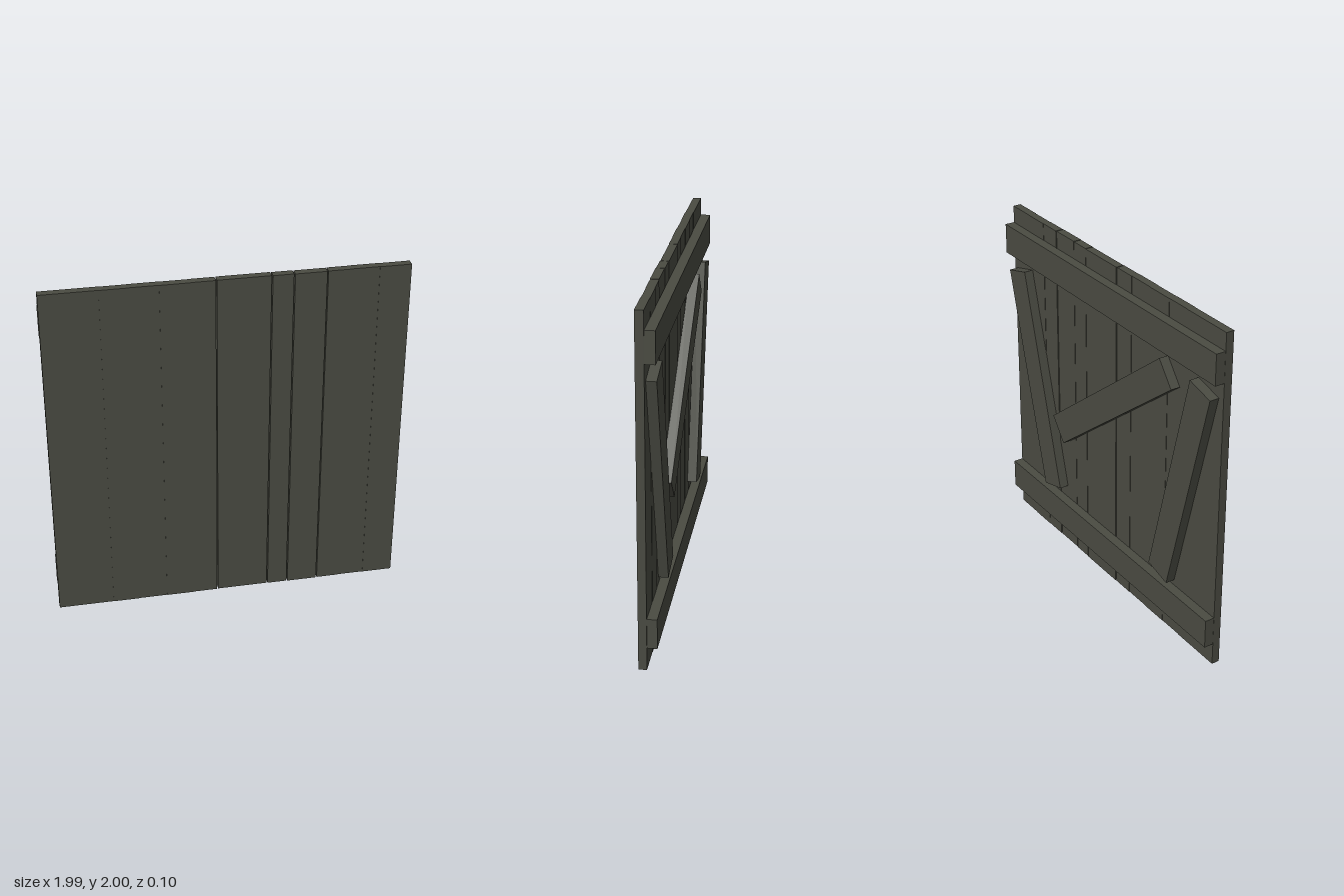
import * as THREE from 'three';

export function createModel() {
  const group = new THREE.Group();
  const wood = new THREE.MeshStandardMaterial({ color: 0x4a4b42 });
  wood.name = 'dark weathered wood';

  const addBox = (name, w, h, d, x, y, z, angle = 0) => {
    const mesh = new THREE.Mesh(new THREE.BoxGeometry(w, h, d), wood);
    mesh.name = name;
    mesh.position.set(x, y, z);
    mesh.rotation.z = angle;
    group.add(mesh);
  };

  // Upright planks: [right edge, depth offset, gap after the plank]
  const planks = [
    [-0.68, 0, 0], [-0.53, 0.002, 0], [-0.365, 0, 0], [-0.2, 0.002, 0],
    [-0.063, 0, 0.006], [0.235, -0.002, 0.006], [0.355, 0, 0.006],
    [0.535, 0.002, 0.006], [0.667, 0, 0], [0.82, -0.002, 0], [0.995, 0, 0],
  ];
  let left = -0.995;
  for (const [edge, offset, gap] of planks) {
    const right = edge - gap / 2;
    addBox('plank', right - left, 2, 0.046, (left + right) / 2, 1, 0.027 + offset);
    left = edge + gap / 2;
  }

  // Horizontal battens across the back
  const backDepth = 0.055, backZ = -0.0245;
  addBox('lowerBatten', 1.99, 0.175, backDepth, 0, 0.223, backZ);
  addBox('upperBatten', 1.99, 0.175, backDepth, 0, 1.813, backZ);

  // Slanted braces between the battens, from end centre to end centre
  const addBrace = (name, x1, y1, x2, y2) =>
    addBox(name, Math.hypot(x2 - x1, y2 - y1), 0.173, backDepth,
      (x1 + x2) / 2, (y1 + y2) / 2, backZ, Math.atan2(y2 - y1, x2 - x1));
  addBrace('leftBrace', 0.535, 0.368, 0.88, 1.65);
  addBrace('rightBrace', -0.55, 0.366, -0.875, 1.65);
  addBrace('diagonalBrace', -0.585, 1.615, 0.46, 0.795);

  return group;
}
